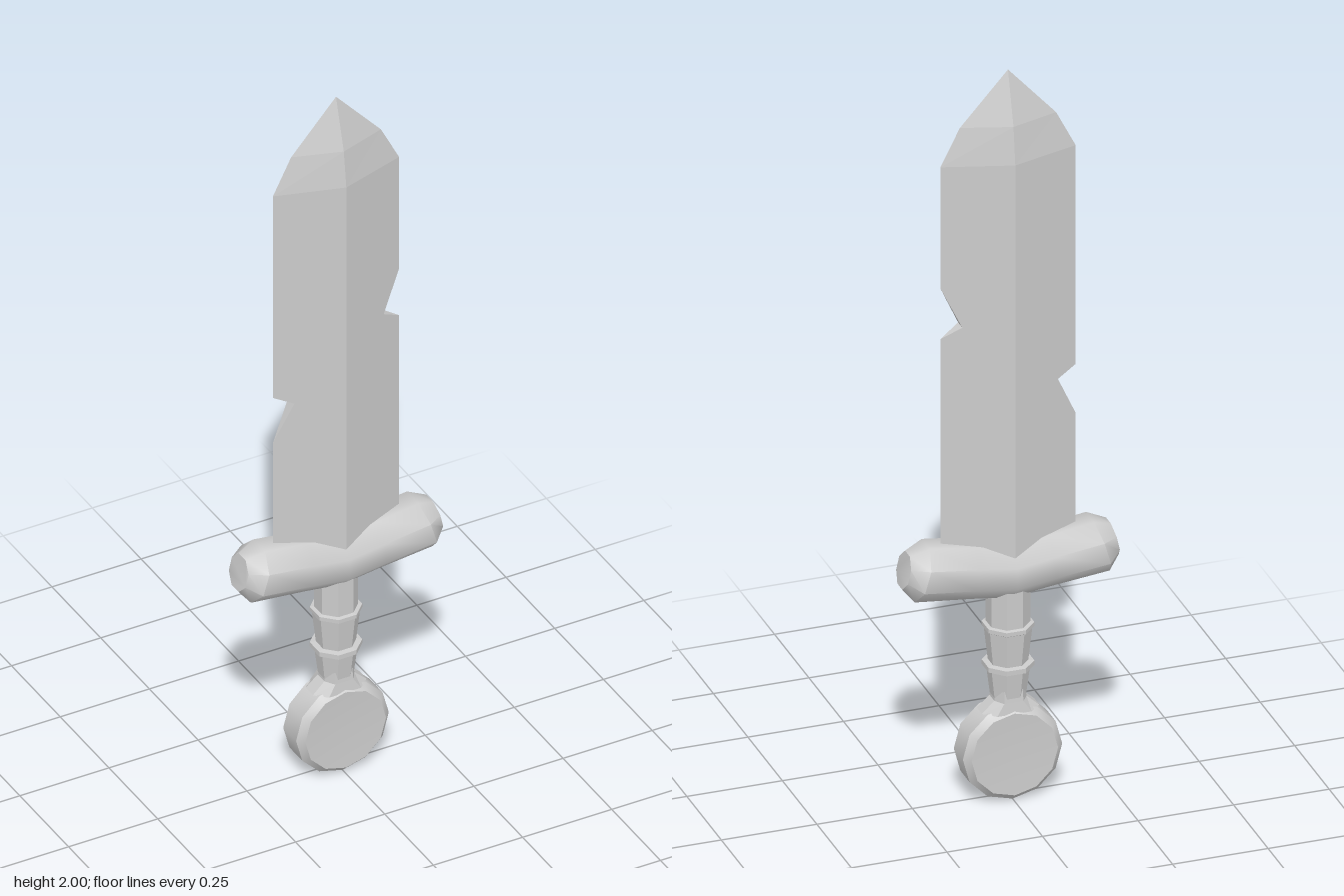
import * as THREE from 'three';
import { toCreasedNormals } from 'three/addons/utils/BufferGeometryUtils.js';

// Skin a list of rings (arrays of [x, y, z]) and cap both ends.
function loft(rings) {
  const n = rings[0].length, index = [];
  rings.slice(1).forEach((_, i) => {
    for (let j = 0; j < n; j++) {
      const a = i * n + j, b = i * n + (j + 1) % n;
      index.push(a, b, b + n, a, b + n, a + n);
    }
  });
  const last = (rings.length - 1) * n;
  for (let j = 1; j < n - 1; j++) {
    index.push(0, j + 1, j, last, last + j, last + j + 1);
  }
  const geo = new THREE.BufferGeometry();
  geo.setAttribute('position', new THREE.Float32BufferAttribute(rings.flat(2), 3));
  geo.setIndex(index);
  geo.computeVertexNormals();
  return geo;
}

export function createModel() {
  const group = new THREE.Group();
  const add = (name, geo, flatShading = false) => {
    const mat = new THREE.MeshStandardMaterial({ color: 0xcccccc, flatShading });
    const mesh = new THREE.Mesh(geo, mat);
    mesh.name = name;
    group.add(mesh);
  };

  // Blade: diamond section with a chip in each edge.
  // Each row: height, left edge, right edge, full half width, half thickness
  const W = 0.177, T = 0.053;
  const rows = [
    [0.64, W, W, W, T], [1.02, W, W, W, T], [1.13, 0.125, W, W, T], [1.155, W, W, W, T],
    [1.285, W, W, W, T], [1.315, W, 0.125, W, T], [1.425, W, W, W, T],
    [1.76, W, W, W, T], [1.86, 0.126, 0.126, 0.126, 0.04], [2, 0, 0, 0.01, 0],
  ];
  add('blade', loft(rows.map(([y, l, r, w, t]) => {
    const zl = t * (1 - l / w), zr = t * (1 - r / w);
    return [[-l, y, zl], [0, y, t], [r, y, zr], [r, y, -zr], [0, y, -t], [-l, y, -zl]];
  })), true);

  // Guard: eight-sided bar bent upwards, with slanted, tapered ends.
  // Each row: x, centre height, half height, half depth, slant
  const half = [
    [0, 0.625, 0.07, 0.073, 0], [0.1, 0.639, 0.07, 0.073, 0.004],
    [0.235, 0.655, 0.07, 0.073, 0.02], [0.273, 0.663, 0.044, 0.043, 0.01],
  ];
  const mirrored = half.slice(1).reverse().map(([x, ...rest]) => [-x, ...rest]);
  const guardRings = [...mirrored, ...half].map(([x, y, h, d, slant]) =>
    Array.from({ length: 8 }, (_, k) => {
      const a = (k + 0.5) * Math.PI / 4, s = 1 / Math.cos(Math.PI / 8);
      const v = -Math.sin(a) * s;
      return [x - Math.sign(x) * slant * v, y + h * v, d * Math.cos(a) * s];
    }));
  add('guard', toCreasedNormals(loft(guardRings), 0.9));

  // Grip: eight-sided, with two raised bands
  const points = (list) => list.map(([r, y]) => new THREE.Vector2(r, y));
  const grip = new THREE.LatheGeometry(points([
    [0.044, 0.22], [0.044, 0.27], [0.054, 0.35], [0.065, 0.355], [0.065, 0.368],
    [0.05, 0.37], [0.06, 0.46], [0.065, 0.463], [0.065, 0.474], [0.055, 0.476], [0.055, 0.58],
  ]), 8);
  grip.rotateY(Math.PI / 8);
  add('grip', grip, true);

  // Pommel: upright disc with a bevelled rim and slightly dished faces
  const pommel = new THREE.LatheGeometry(points([
    [0, -0.045], [0.113, -0.05], [0.13, -0.033], [0.13, 0.033], [0.113, 0.05], [0, 0.045],
  ]), 12);
  pommel.rotateX(Math.PI / 2);
  pommel.translate(0, 0.13, 0);
  add('pommel', toCreasedNormals(pommel, 0.6));

  // Neck: flares from the grip into the pommel
  const neck = [[0.24, 0.075, 0.047], [0.27, 0.042, 0.043], [0.3, 0.04, 0.04]];
  add('neck', loft(neck.map(([y, w, d]) => [
    [-w, y, d * 0.4], [-w * 0.6, y, d], [w * 0.6, y, d], [w, y, d * 0.4],
    [w, y, -d * 0.4], [w * 0.6, y, -d], [-w * 0.6, y, -d], [-w, y, -d * 0.4],
  ])), true);

  return group;
}
